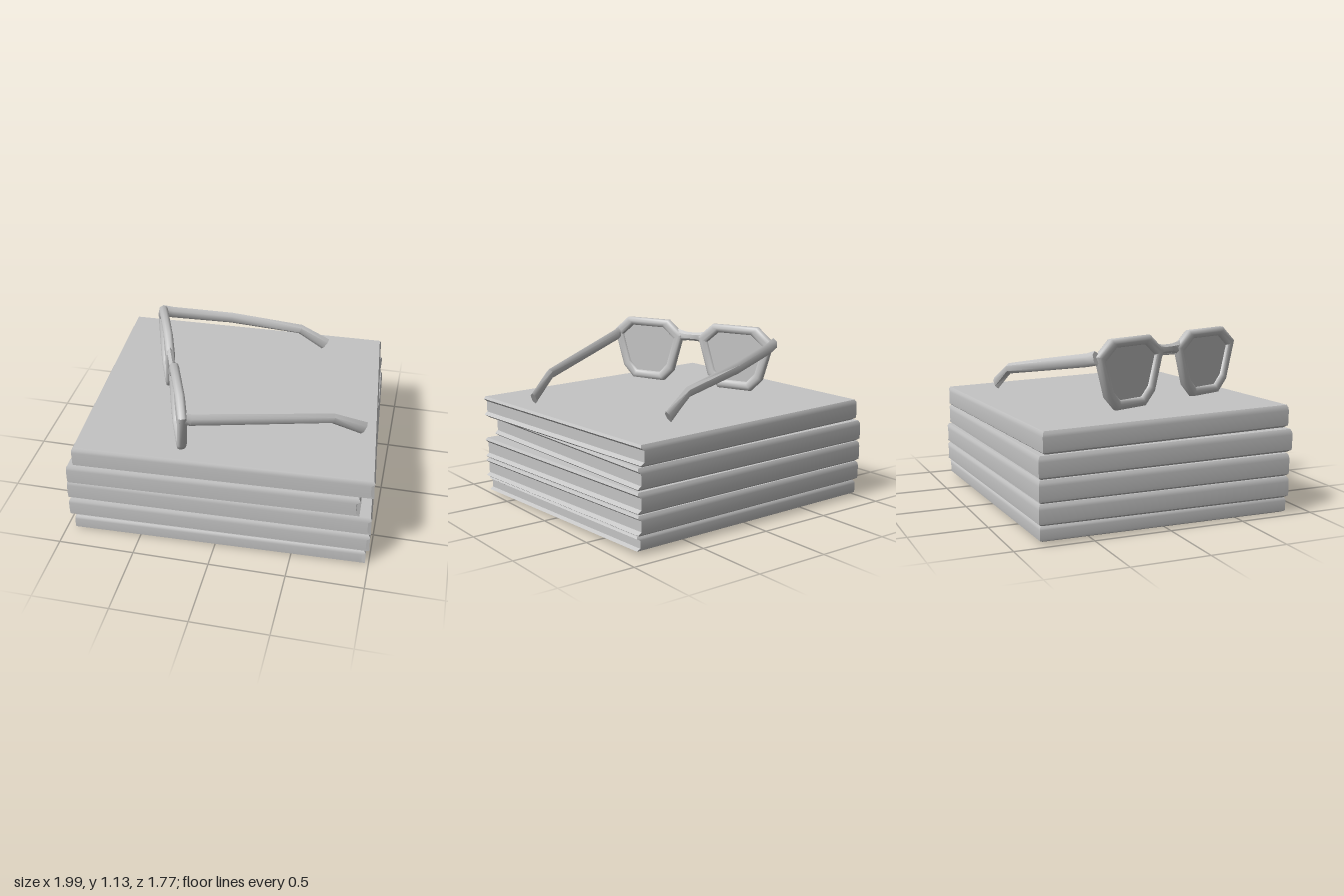
import * as THREE from 'three';
import { toCreasedNormals } from 'three/addons/utils/BufferGeometryUtils.js';

const grey = new THREE.MeshStandardMaterial({ color: 0xc4c4c4 });
grey.name = 'plain grey';

function part(name, geometry, crease) {
  const mesh = new THREE.Mesh(toCreasedNormals(geometry, crease), grey);
  mesh.name = name;
  return mesh;
}

// Closed skin over a row of rings (each clockwise seen from the last ring)
function loft(rings) {
  const n = rings[0].length;
  const last = (rings.length - 1) * n;
  const index = [];
  for (let r = 0; r < rings.length - 1; r++) {
    for (let i = 0; i < n; i++) {
      const a = r * n + i, b = r * n + (i + 1) % n;
      index.push(a, a + n, b, b, a + n, b + n);
    }
  }
  for (let i = 1; i < n - 1; i++) {
    index.push(0, i, i + 1, last, last + i + 1, last + i);
  }
  const geometry = new THREE.BufferGeometry();
  geometry.setAttribute('position', new THREE.Float32BufferAttribute(rings.flat(2), 3));
  geometry.setIndex(index);
  return geometry;
}

// Slight warp so the stack is not perfectly level
function settle(x, y, z) {
  const t = y / 0.68;
  return [x, y + z * (-0.01 + 0.022 * t) - x * 0.008 * t, z];
}

// Book: corners run back-right, back-left, front-left, front-right
function book(y0, y1, corners) {
  const profile = [[0, 0.03, 0], [0.12, 0.002, 0], [0.25, 0, 0.025], [0.75, 0, 0.025], [0.88, 0.002, 0], [1, 0.012, 0]];
  return loft(profile.map(([t, inset, pages]) => corners.map(([x, z]) =>
    settle(x * (1 - inset) - (x > 0 ? pages : 0), y0 + (y1 - y0) * t, z * (1 - inset)))));
}

// Six-sided bar along a path of [x, y, z, half width, half height]
function bar(path) {
  const points = path.map(p => new THREE.Vector3(p[0], p[1], p[2]));
  const up = new THREE.Vector3(0, 1, 0);
  return loft(points.map((p, i) => {
    const t = points[Math.min(i + 1, points.length - 1)].clone().sub(points[Math.max(i - 1, 0)]).normalize();
    const u = new THREE.Vector3().crossVectors(up, t).normalize();
    const v = new THREE.Vector3().crossVectors(t, u);
    return Array.from({ length: 6 }, (_, k) => {
      const a = k * Math.PI / 3 + Math.PI / 6;
      return p.clone().addScaledVector(u, Math.cos(a) * path[i][3])
        .addScaledVector(v, -Math.sin(a) * path[i][4]).toArray();
    });
  }));
}

// Eight-sided lens outline, scaled about its centre
function outline(cx, scale) {
  const half = [[0.295, 1.035], [0.175, 1.135], [-0.175, 1.135], [-0.295, 1.035],
    [-0.215, 0.77], [-0.13, 0.685], [0.13, 0.685], [0.215, 0.77]];
  return half.map(([x, y]) => new THREE.Vector2(cx + x * scale, 0.92 + (y - 0.92) * scale));
}

export function createModel() {
  const model = new THREE.Group();

  // Stack of books, top to bottom
  const books = new THREE.Group();
  books.name = 'bookStack';
  [
    [0.535, 0.68, [[-0.98, -0.81], [0.86, -0.875], [1.0, 0.79], [-0.90, 0.88]]],
    [0.39, 0.538, [[-0.99, -0.84], [0.88, -0.87], [0.92, 0.80], [-0.95, 0.88]]],
    [0.245, 0.393, [[-0.99, -0.84], [0.89, -0.885], [1.0, 0.79], [-0.97, 0.85]]],
    [0.11, 0.248, [[-0.985, -0.84], [0.89, -0.885], [1.0, 0.79], [-0.97, 0.85]]],
    [0.01, 0.113, [[-0.97, -0.83], [0.89, -0.87], [0.98, 0.79], [-0.94, 0.85]]],
  ].forEach(([y0, y1, corners], i) => books.add(part('book' + (i + 1), book(y0, y1, corners), 0.8)));
  model.add(books);

  // Spectacles: front frame lies in a turned upright plane
  const glasses = new THREE.Group();
  glasses.name = 'glasses';
  const frame = new THREE.Group();
  frame.name = 'frontFrame';
  frame.position.set(-0.505, 0, 0);
  frame.rotation.y = -Math.atan2(1.19, 0.46);
  for (const [side, cx] of [['left', 0.65], ['right', -0.07]]) {
    const rim = new THREE.Shape(outline(cx, 1));
    rim.holes.push(new THREE.Path(outline(cx, 0.74)));
    const rimGeometry = new THREE.ExtrudeGeometry(rim, {
      depth: 0.024, bevelEnabled: true, bevelThickness: 0.018, bevelSize: 0.025, bevelOffset: -0.025, bevelSegments: 2,
    });
    rimGeometry.translate(0, 0, -0.012);
    frame.add(part(side + 'Rim', rimGeometry, 0.9));
    const lens = new THREE.ExtrudeGeometry(new THREE.Shape(outline(cx, 0.86)), { depth: 0.016, bevelEnabled: false });
    lens.translate(0, 0, -0.008);
    frame.add(part(side + 'Lens', lens, 0.5));
  }
  // Bridge between the lenses
  frame.add(part('bridge', bar([
    [0.16, 1.03, 0, 0.028, 0.045], [0.24, 1.03, 0, 0.022, 0.03],
    [0.32, 1.03, 0, 0.022, 0.03], [0.40, 1.03, 0, 0.028, 0.045],
  ]), 0.9));
  glasses.add(frame);

  // Temples, each with a bent tip
  glasses.add(part('leftTemple', bar([
    [-0.19, 1.02, 0.85, 0.028, 0.045], [-0.13, 1.0, 0.83, 0.028, 0.042],
    [0.68, 0.855, 0.43, 0.026, 0.036], [0.87, 0.73, 0.32, 0.02, 0.045],
  ]), 0.9));
  glasses.add(part('rightTemple', bar([
    [-0.64, 1.03, -0.34, 0.028, 0.045], [-0.57, 1.01, -0.37, 0.028, 0.042],
    [-0.18, 0.94, -0.5, 0.026, 0.04], [0.30, 0.855, -0.59, 0.026, 0.036], [0.48, 0.73, -0.63, 0.02, 0.045],
  ]), 0.9));
  model.add(glasses);
  return model;
}
